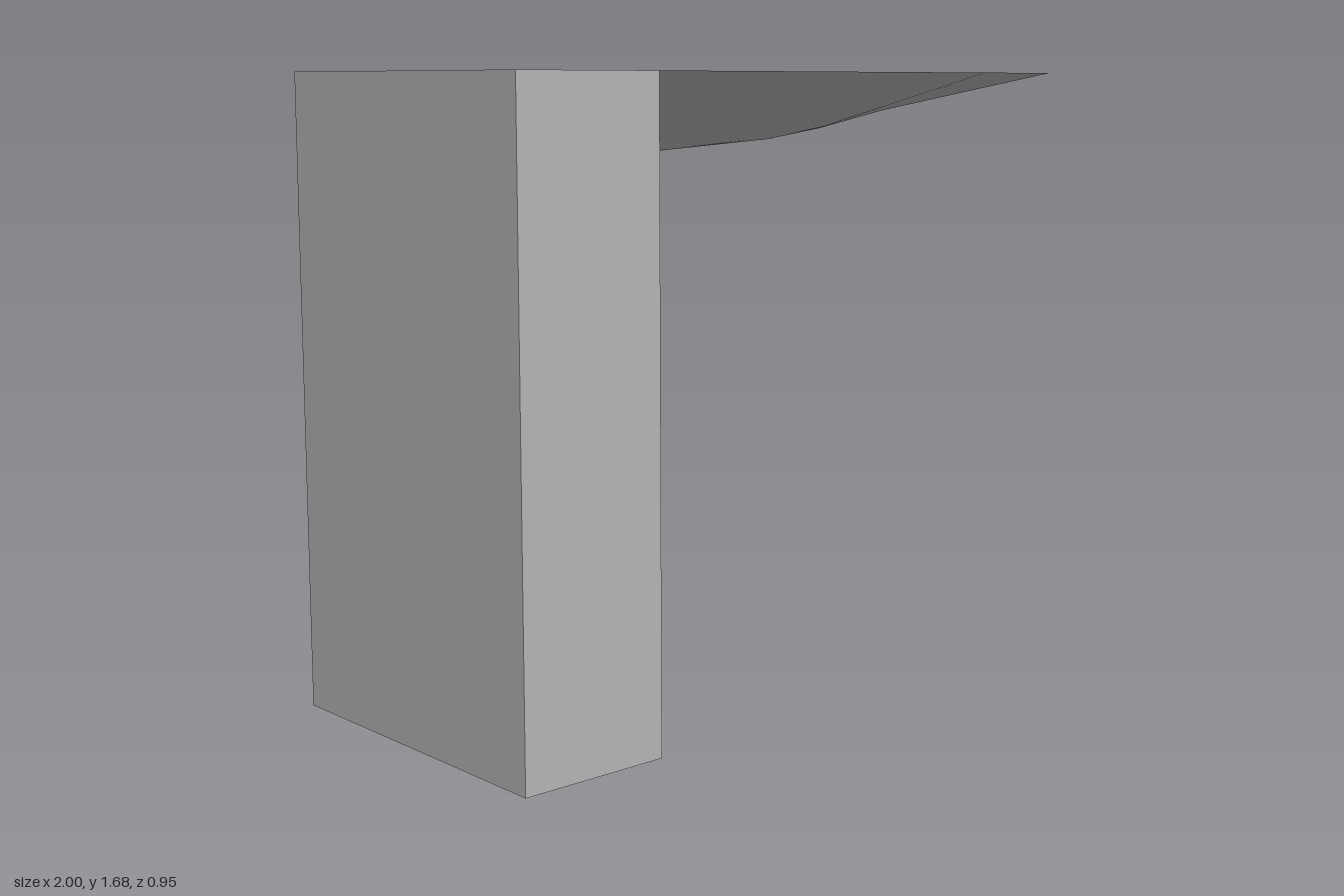
import * as THREE from 'three';

const TOP = 1.685, HALF = 0.475, FACE = -0.58;

// Stations along the canopy: x, half width, keel height, keel half width
const STATIONS = [
  [FACE, HALF, 1.478, 0.045],
  [-0.2, HALF, 1.478, 0.045],
  [0.2, HALF, 1.502, 0.05],
  [0.4, HALF, 1.53, 0.06],
  [0.6, HALF, 1.572, 0.09],
  [0.88, HALF, 1.653, 0.18],
  [0.95, 0.415, 1.672, 0.22],
  [1, 0.26, TOP, 0.26],
];

// Smooth underside lofted through keel-shaped cross-sections
function undersideGeometry() {
  const pos = [], index = [], n = 6;
  for (const [x, w, y, k] of STATIONS) {
    const shoulder = Math.min(y + 0.007, TOP);
    pos.push(x, TOP, w, x, shoulder, k, x, y, k * 0.6);
    pos.push(x, y, -k * 0.6, x, shoulder, -k, x, TOP, -w);
  }
  for (let i = 0; i < STATIONS.length - 1; i++) {
    for (let j = 0; j < n - 1; j++) {
      const a = i * n + j, b = a + n;
      index.push(a, a + 1, b, a + 1, b + 1, b);
    }
  }
  const g = new THREE.BufferGeometry();
  g.setAttribute('position', new THREE.Float32BufferAttribute(pos, 3));
  g.setIndex(index);
  g.computeVertexNormals();
  return g;
}

// Flat top outline with clipped far corners
function deckGeometry() {
  const side = STATIONS.map(([x, w]) => new THREE.Vector2(x, -w));
  const back = STATIONS.map(([x, w]) => new THREE.Vector2(x, w)).reverse();
  const g = new THREE.ShapeGeometry(new THREE.Shape([...side, ...back]));
  return g.rotateX(-Math.PI / 2).translate(0, TOP, 0);
}

export function createModel() {
  const grey = new THREE.MeshStandardMaterial({ color: 0xb4b4b4 });
  const model = new THREE.Group();
  const add = (name, geometry, parent = model) => {
    const mesh = new THREE.Mesh(geometry, grey);
    mesh.name = name;
    parent.add(mesh);
    return mesh;
  };

  // Upright block
  add('pillar', new THREE.BoxGeometry(FACE + 1, TOP, HALF * 2))
    .position.set((FACE - 1) / 2, TOP / 2, 0);

  // Cantilevered canopy
  const canopy = new THREE.Group();
  canopy.name = 'canopy';
  add('canopyTop', deckGeometry(), canopy);
  add('canopyUnderside', undersideGeometry(), canopy);
  model.add(canopy);

  return model;
}
